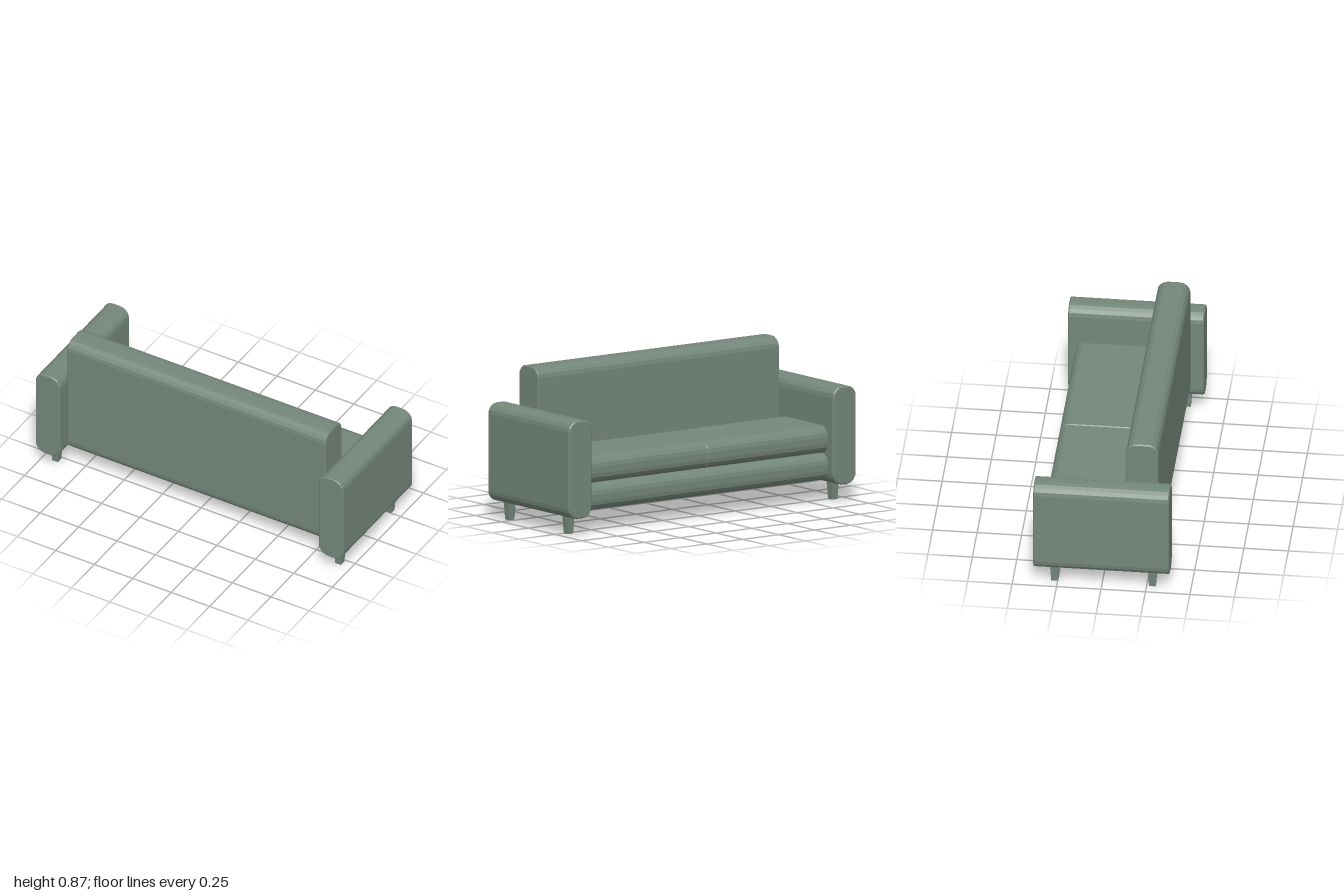
import * as THREE from 'three';

const BEVEL = 0.006;

// Rounded-rectangle bar, w wide and h high, extruded to a full length with small end bevels, centred
function roundedBar(w, h, length, r = 0.06) {
  const a = w / 2 - BEVEL, b = h / 2 - BEVEL, q = r - BEVEL;
  const s = new THREE.Shape();
  s.moveTo(a, -b + q);
  s.absarc(a - q, b - q, q, 0, Math.PI / 2);
  s.absarc(-a + q, b - q, q, Math.PI / 2, Math.PI);
  s.absarc(-a + q, -b + q, q, Math.PI, Math.PI * 1.5);
  s.absarc(a - q, -b + q, q, Math.PI * 1.5, Math.PI * 2);
  const depth = length - 2 * BEVEL;
  const g = new THREE.ExtrudeGeometry(s, {
    depth, curveSegments: 2, bevelEnabled: true,
    bevelThickness: BEVEL, bevelSize: BEVEL, bevelSegments: 1,
  });
  return g.translate(0, 0, -depth / 2);
}

export function createModel() {
  const sofa = new THREE.Group();
  sofa.name = 'sofa';
  const fabric = new THREE.MeshStandardMaterial({ color: 0x74877b, flatShading: true });
  fabric.name = 'sage green';

  const add = (name, geometry, x, y, z) => {
    const m = new THREE.Mesh(geometry, fabric);
    m.name = name;
    m.position.set(x, y, z);
    sofa.add(m);
  };
  // Bar running from side to side
  const crossBar = (depth, height, length) =>
    roundedBar(depth, height, length).rotateY(Math.PI / 2);

  // Backrest, seat base and two seat cushions
  add('backrest', crossBar(0.184, 0.753, 1.68), 0, 0.4965, 0.214);
  add('seatBase', crossBar(0.46, 0.155, 1.68), 0, 0.1975, -0.11);
  for (const side of [-1, 1]) {
    const label = side > 0 ? 'left' : 'right';
    add(label + 'Cushion', crossBar(0.46, 0.155, 0.84), side * 0.42, 0.3525, -0.11);

    // Armrest with a leg at each end
    add(label + 'Armrest', roundedBar(0.16, 0.555, 0.764), side * 0.92, 0.3775, 0);
    for (const z of [-0.268, 0.282]) {
      const leg = new THREE.CylinderGeometry(0.025 * Math.SQRT2, 0.0185 * Math.SQRT2, 0.105, 4);
      leg.rotateY(Math.PI / 4);
      add(label + (z < 0 ? 'SeatSideLeg' : 'BackSideLeg'), leg, side * 0.92, 0.0525, z);
    }
  }
  return sofa;
}
